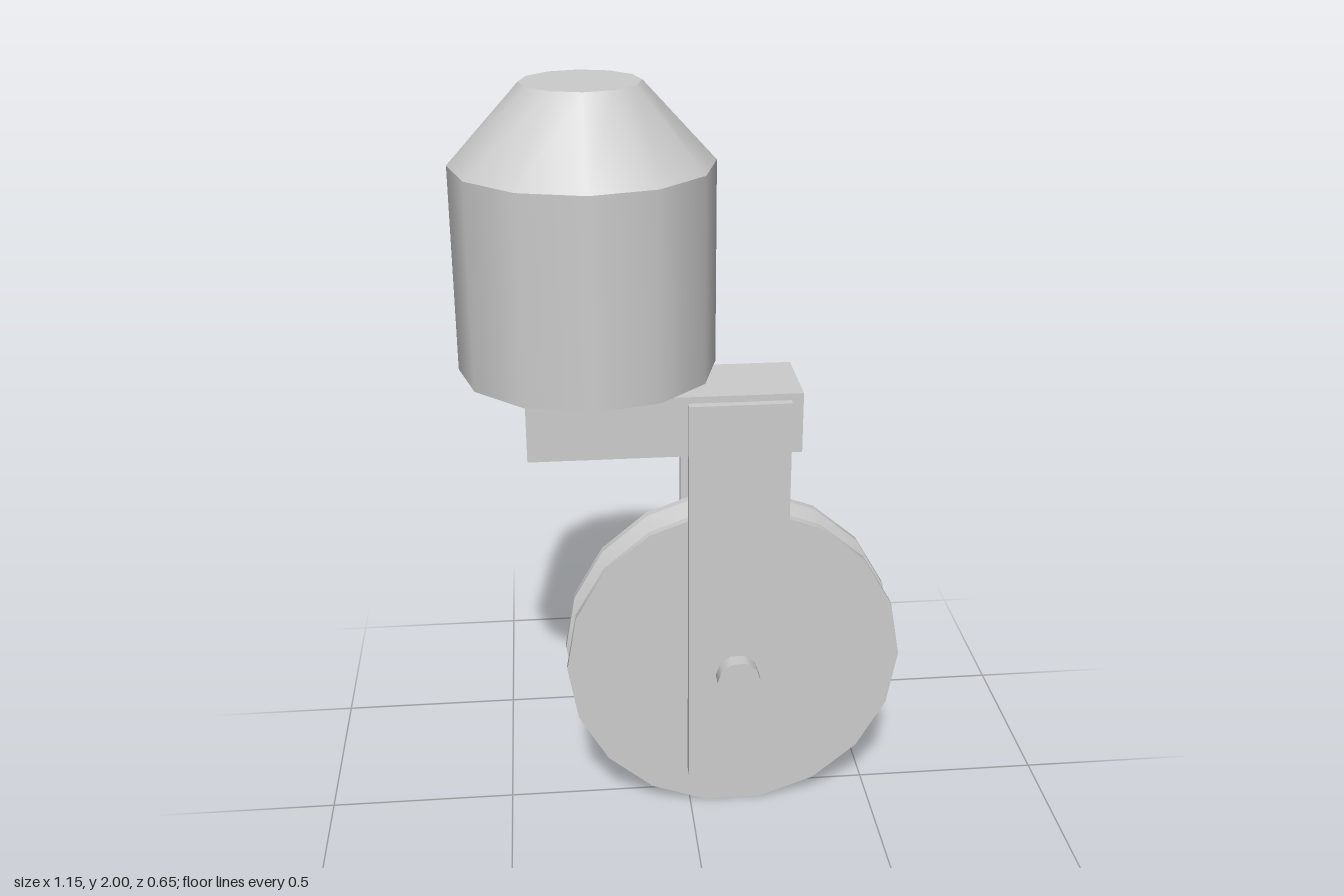
import * as THREE from 'three';
import { toCreasedNormals } from 'three/addons/utils/BufferGeometryUtils.js';

export function createModel() {
  const group = new THREE.Group();
  const grey = new THREE.MeshStandardMaterial({ color: 0xcccccc });
  grey.name = 'light grey';

  const add = (name, geometry, x, y, z = 0) => {
    const mesh = new THREE.Mesh(geometry, grey);
    mesh.name = name;
    mesh.position.set(x, y, z);
    group.add(mesh);
    return mesh;
  };

  // Twelve-sided stem: drum with a tapered cap
  const stemX = -0.253;
  add('stemDrum', new THREE.CylinderGeometry(0.323, 0.323, 0.514, 12), stemX, 1.55);
  add('stemTaper', new THREE.CylinderGeometry(0.146, 0.323, 0.193, 12), stemX, 1.9035);

  // Horizontal arm below the stem
  add('arm', new THREE.BoxGeometry(0.695, 0.16, 0.226), -0.067, 1.16);

  // Fork plates either side of the wheel
  for (const side of [1, -1]) {
    add(side > 0 ? 'frontForkPlate' : 'backForkPlate',
      new THREE.BoxGeometry(0.26, 1.095, 0.037), 0.12, 0.675, side * 0.117);
  }

  // Axle through the fork
  const wheelX = 0.12, wheelY = 0.447;
  const axle = new THREE.CylinderGeometry(0.058, 0.058, 0.355, 10, 1, false, Math.PI / 2);
  add('axle', axle.rotateX(Math.PI / 2), wheelX, wheelY);

  // Grooved wheel, eighteen sides
  const profile = [
    [0, -0.07], [0.453, -0.07], [0.453, -0.047], [0.368, -0.017],
    [0.368, 0.017], [0.453, 0.047], [0.453, 0.07], [0, 0.07],
  ].map(([r, h]) => new THREE.Vector2(r, h));
  const wheel = new THREE.LatheGeometry(profile, 18, Math.PI / 2).rotateX(Math.PI / 2);
  add('wheel', toCreasedNormals(wheel, 0.5), wheelX, wheelY);

  return group;
}
